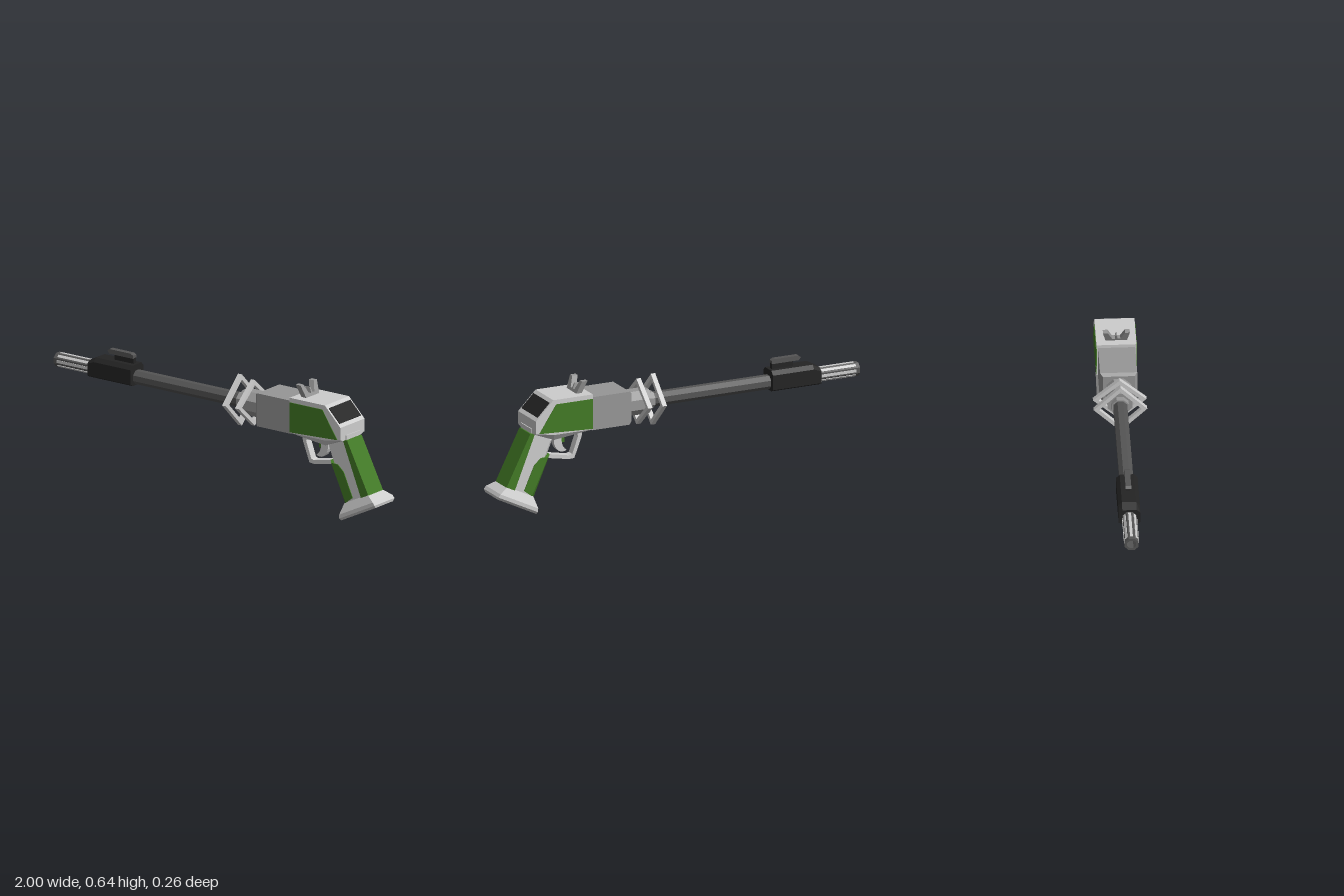
import * as THREE from 'three';

const mat = (name, color) => {
  const m = new THREE.MeshStandardMaterial({ color });
  m.name = name;
  return m;
};

export function createModel() {
  const light = mat('lightGrey', 0xcdcdcd);
  const mid = mat('midGrey', 0x979797);
  const steel = mat('darkSteel', 0x555555);
  const black = mat('black', 0x242424);
  const green = mat('green', 0x427a25);
  const model = new THREE.Group();
  model.name = 'toyBlaster';

  // Facet the geometry and add it as a named part
  const add = (name, geo, material) => {
    const g = geo.index ? geo.toNonIndexed() : geo;
    g.computeVertexNormals();
    const mesh = new THREE.Mesh(g, material);
    mesh.name = name;
    model.add(mesh);
    return mesh;
  };
  // Skin through convex counter-clockwise rings [z, points], stacked along +z
  const loft = (rings) => {
    const pos = [];
    const at = (r, i) => {
      const [z, pts] = rings[r];
      const p = pts[i % pts.length];
      return [p[0], p[1], z];
    };
    const n = rings[0][1].length, last = rings.length - 1;
    for (let r = 0; r < last; r++)
      for (let i = 0; i < n; i++) {
        const a = at(r, i), b = at(r, i + 1), c = at(r + 1, i + 1), d = at(r + 1, i);
        pos.push(...a, ...b, ...c, ...a, ...c, ...d);
      }
    for (let i = 1; i < n - 1; i++) {
      pos.push(...at(0, 0), ...at(0, i + 1), ...at(0, i));
      pos.push(...at(last, 0), ...at(last, i), ...at(last, i + 1));
    }
    const g = new THREE.BufferGeometry();
    g.setAttribute('position', new THREE.Float32BufferAttribute(pos, 3));
    return g;
  };
  // Symmetric solid: full outline in the middle, inset outline on both sides
  const slab = (inner, zi, outer, zo) => loft([[-zo, outer], [-zi, inner], [zi, inner], [zo, outer]]);
  const shapeOf = (pts) => new THREE.Shape(pts.map((p) => new THREE.Vector2(...p)));
  const extrude = (shape, depth) =>
    new THREE.ExtrudeGeometry(shape, { depth, bevelEnabled: false, curveSegments: 6 }).translate(0, 0, -depth / 2);
  const box = (x0, x1, y0, y1, w) =>
    new THREE.BoxGeometry(x1 - x0, y1 - y0, w).translate((x0 + x1) / 2, (y0 + y1) / 2, 0);
  const axisY = 0.475;

  // Hollow octagonal barrel pointing to -x
  const bore = [[0.037, -0.2], [0.037, 1], [0.024, 1], [0.024, 0.9], [0, 0.9]].map((p) => new THREE.Vector2(...p));
  add('barrel', new THREE.LatheGeometry(bore, 8, Math.PI / 8).rotateZ(Math.PI / 2).translate(0, axisY, 0), steel);
  for (let i = 0; i < 8; i++)
    add('muzzleStripe', new THREE.BoxGeometry(0.19, 0.005, 0.014).translate(-0.885, 0.0345, 0)
      .rotateX(i * Math.PI / 4).translate(0, axisY, 0), light);

  // Front block with its sight rail
  add('frontBlock', slab(
    [[-0.78, 0.435], [-0.515, 0.435], [-0.515, 0.54], [-0.74, 0.54], [-0.78, 0.52]], 0.035,
    [[-0.78, 0.445], [-0.515, 0.445], [-0.515, 0.52], [-0.74, 0.52], [-0.78, 0.505]], 0.053), black);
  add('frontSightPost', box(-0.645, -0.53, 0.535, 0.568, 0.02), black);
  add('frontSightRail', extrude(shapeOf(
    [[-0.675, 0.566], [-0.53, 0.566], [-0.53, 0.582], [-0.545, 0.59], [-0.675, 0.59], [-0.687, 0.58]]), 0.028), steel);

  // Diamond guard frames around the barrel
  for (const [x, r] of [[0.113, 0.131], [0.192, 0.117]]) {
    const diamond = (h, w) => [[w, 0], [0, h], [-w, 0], [0, -h]];
    const frame = shapeOf(diamond(r, 0.131));
    frame.holes.push(shapeOf(diamond(r - 0.027, 0.104)));
    add('diamondGuard', extrude(frame, 0.024).rotateY(Math.PI / 2).translate(x, axisY, 0), light);
  }

  // Neck and receiver
  const neck = (r, x0, x1) => new THREE.CylinderGeometry(r, r, x1 - x0, 8, 1, false, Math.PI / 8)
    .rotateZ(Math.PI / 2).translate((x0 + x1) / 2, axisY, 0);
  add('neck', neck(0.066, 0.147, 0.28), mid);
  add('neckCollar', neck(0.045, 0.12, 0.15), mid);
  const rect = (z, y0, y1) => [[-z, y0], [z, y0], [z, y1], [-z, y1]];
  add('receiver', loft([[0.27, rect(0.078, 0.405, 0.55)], [0.285, rect(0.091, 0.393, 0.562)],
    [0.49, rect(0.091, 0.393, 0.562)]]).rotateY(Math.PI / 2), mid);

  // Rear body, with bevelled underside
  add('rearBody', slab(
    [[0.49, 0.39], [0.69, 0.367], [0.8, 0.41], [0.8, 0.482], [0.705, 0.579], [0.49, 0.579]], 0.075,
    [[0.49, 0.4], [0.7, 0.4], [0.8, 0.418], [0.8, 0.482], [0.705, 0.579], [0.49, 0.579]], 0.098), light);
  for (const s of [-1, 1])
    add('sidePanel', extrude(shapeOf([[0.49, 0.403], [0.782, 0.417], [0.69, 0.556], [0.49, 0.556]]), 0.006)
      .translate(0, 0, s * 0.098), green);
  // Dark window on the sloping back
  add('rearWindow', new THREE.BoxGeometry(0.094, 0.006, 0.174).rotateZ(-Math.atan2(0.097, 0.095))
    .translate(0.753, 0.531, 0), black);

  // Forked rear sight leaning forward
  const lean = (g) => {
    const p = g.attributes.position;
    for (let i = 0; i < p.count; i++) p.setX(i, p.getX(i) - 0.4 * (p.getY(i) - 0.575));
    return g;
  };
  const fork = shapeOf([[-0.052, 0.575], [0.052, 0.575], [0.066, 0.641], [0.042, 0.641], [0.02, 0.592],
    [0.006, 0.592], [0.003, 0.618], [-0.003, 0.618], [-0.006, 0.592], [-0.02, 0.592], [-0.042, 0.641], [-0.066, 0.641]]);
  add('rearSight', lean(extrude(fork, 0.03).rotateY(Math.PI / 2).translate(0.544, 0, 0)), mid);

  // Slanted grip
  add('grip', slab(
    [[0.68, 0.36], [0.79, 0.085], [0.93, 0.14], [0.8, 0.41], [0.74, 0.42]], 0.035,
    [[0.7, 0.36], [0.81, 0.085], [0.93, 0.14], [0.8, 0.41], [0.74, 0.42]], 0.056), light);
  add('gripTang', box(0.74, 0.805, 0.4, 0.434, 0.114), light);
  add('gripFrontPanel', slab(
    [[0.695, 0.285], [0.783, 0.08], [0.845, 0.122], [0.79, 0.245], [0.755, 0.277]], 0.038,
    [[0.714, 0.279], [0.803, 0.09], [0.845, 0.122], [0.79, 0.245], [0.755, 0.277]], 0.06), green);
  add('gripBackPanel', extrude(shapeOf([[0.897, 0.13], [0.943, 0.15], [0.812, 0.41], [0.785, 0.41]]), 0.12), green);

  // Flared butt plate, square to the grip
  const plate = (u0, u1, z) => [[u0, -z], [u1, -z], [u1, z], [u0, z]];
  add('buttPlate', loft([[0, plate(0, 0.232, 0.071)], [0.012, plate(0, 0.24, 0.081)],
    [0.03, plate(0.008, 0.236, 0.081)], [0.074, plate(0.046, 0.204, 0.058)]])
    .rotateX(-Math.PI / 2).rotateZ(0.454).translate(0.785, 0, 0), light);

  // Trigger guard and trigger
  const guard = shapeOf([[0.505, 0.4], [0.512, 0.345], [0.552, 0.24], [0.58, 0.238], [0.71, 0.262],
    [0.705, 0.282], [0.58, 0.257], [0.563, 0.262], [0.532, 0.348], [0.545, 0.4]]);
  add('triggerGuard', extrude(guard, 0.04), light);
  const trigger = new THREE.Shape();
  trigger.moveTo(0.61, 0.385);
  trigger.quadraticCurveTo(0.635, 0.315, 0.59, 0.285);
  trigger.quadraticCurveTo(0.64, 0.265, 0.66, 0.325);
  trigger.lineTo(0.665, 0.385);
  add('trigger', extrude(trigger, 0.03), light);
  add('triggerInset', box(0.6, 0.622, 0.325, 0.385, 0.016), green);

  return model;
}
